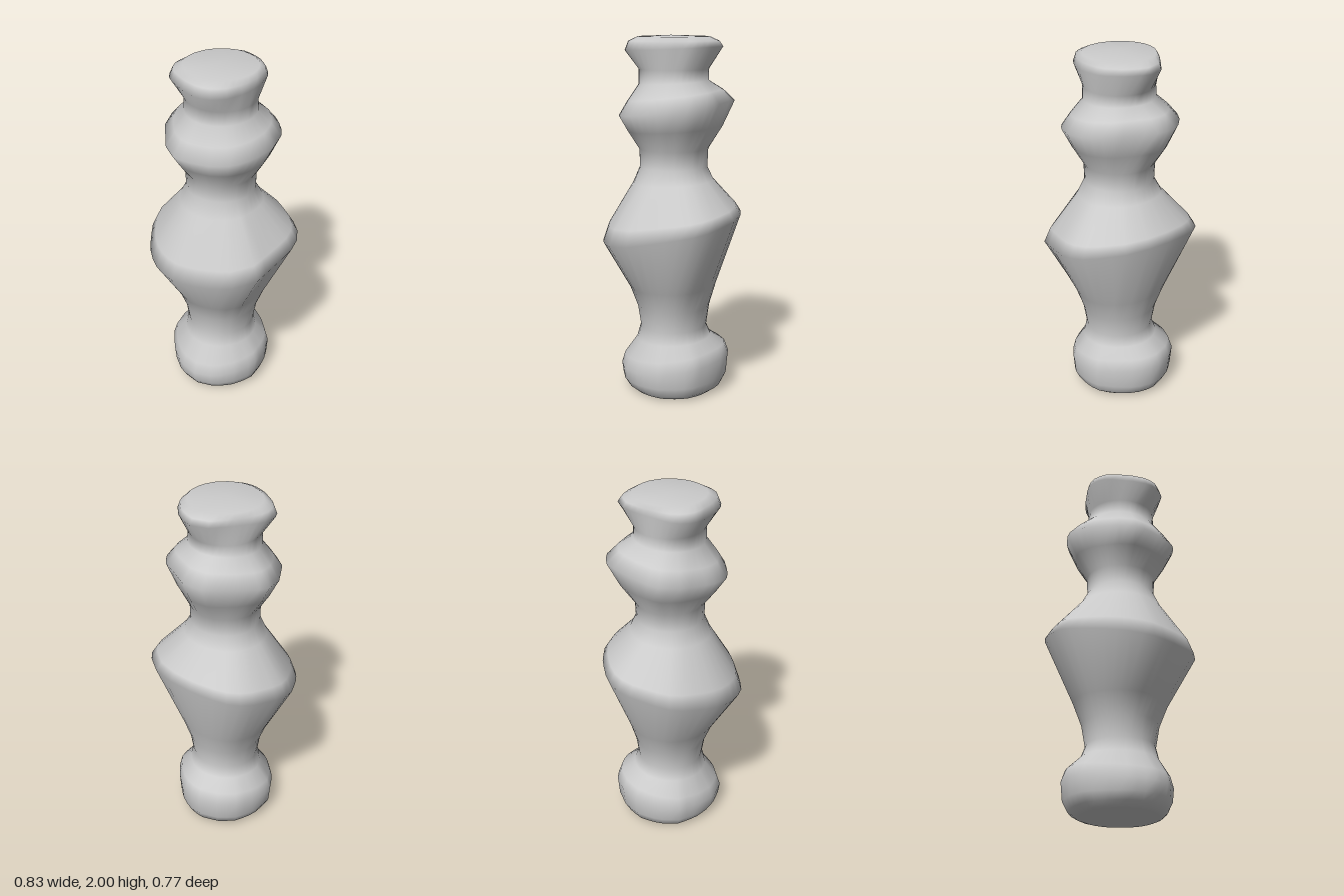
import * as THREE from 'three';

const SEGMENTS = 36;

// Uneven outlines of the bulges, as [x, z] corners going round from the back right towards the front
const neck = [];
for (let i = 0; i < 20; i++) {
  const a = (i / 20) * Math.PI * 2;
  neck.push([0.005 + 0.192 * Math.cos(a), -0.015 + 0.187 * Math.sin(a)]);
}
const foot = [[0.28, -0.05], [0.28, 0.06], [0.21, 0.175], [0.12, 0.255], [0, 0.285], [-0.12, 0.25],
  [-0.215, 0.165], [-0.29, 0.05], [-0.295, -0.07], [-0.25, -0.2], [-0.17, -0.28], [-0.04, -0.335],
  [0.08, -0.31], [0.18, -0.235], [0.265, -0.14]];
const belly = [[0.42, -0.06], [0.4, 0.03], [0.36, 0.21], [0.25, 0.32], [0.09, 0.37], [-0.055, 0.39],
  [-0.165, 0.36], [-0.24, 0.31], [-0.31, 0.235], [-0.36, 0.15], [-0.4, 0.07], [-0.42, -0.02],
  [-0.4, -0.1], [-0.37, -0.21], [-0.31, -0.31], [-0.19, -0.36], [-0.07, -0.385], [0.06, -0.39],
  [0.2, -0.36], [0.32, -0.28], [0.41, -0.19]];
const collar = [[0.32, 0], [0.285, 0.12], [0.215, 0.22], [0.115, 0.27], [0.01, 0.285], [-0.095, 0.29],
  [-0.19, 0.22], [-0.3, 0.055], [-0.33, -0.075], [-0.245, -0.21], [-0.18, -0.285], [-0.11, -0.345],
  [0, -0.345], [0.22, -0.24], [0.305, -0.135]];
const cap = [[0.23, -0.01], [0.21, 0.09], [0.16, 0.185], [0.1, 0.235], [0.02, 0.25], [-0.08, 0.215],
  [-0.21, 0.14], [-0.25, 0.065], [-0.24, -0.01], [-0.15, -0.165], [-0.09, -0.245], [0.01, -0.285],
  [0.12, -0.235], [0.21, -0.145]];

// Cross-sections: height, outline, blend from neck (0) to outline (1), rise towards the back
const RINGS = [
  [0, foot, 0.2, 0], [0.008, foot, 0.4, 0], [0.03, foot, 0.68, 0], [0.08, foot, 0.92, 0.01],
  [0.17, foot, 1, 0.035], [0.235, foot, 0.82, 0.035], [0.31, foot, 0.2, 0.01], [0.38, foot, 0, 0],
  [0.5, belly, 0.09, 0], [0.62, belly, 0.29, 0.01], [0.95, belly, 1, 0.085], [1.02, belly, 0.85, 0.06],
  [1.21, belly, 0.18, 0.01], [1.29, belly, 0, 0], [1.39, collar, 0.03, 0], [1.5, collar, 0.57, 0.015],
  [1.61, collar, 1, 0.04], [1.68, collar, 0.58, 0.03], [1.75, collar, 0.04, 0.01],
  [1.82, cap, 0.05, 0], [1.93, cap, 1, 0.01], [1.97, cap, 0.75, 0], [1.993, cap, 0.1, 0],
];

// Distance from the axis to an outline in direction a
function reach(outline, a) {
  const dx = Math.cos(a), dz = Math.sin(a);
  let best = 0;
  outline.forEach(([px, pz], i) => {
    const [qx, qz] = outline[(i + 1) % outline.length];
    const ex = qx - px, ez = qz - pz;
    const det = dx * ez - dz * ex;
    if (Math.abs(det) < 1e-9) return;
    const r = (px * ez - pz * ex) / det;
    const t = (px * dz - pz * dx) / det;
    if (t >= -1e-6 && t <= 1 + 1e-6) best = Math.max(best, r);
  });
  return best;
}

// Closed loft through all cross-sections
function loft() {
  const pos = [], index = [];
  for (const [y, outline, blend, rise] of RINGS) {
    for (let i = 0; i < SEGMENTS; i++) {
      const a = (i / SEGMENTS) * Math.PI * 2;
      const r = THREE.MathUtils.lerp(reach(neck, a), reach(outline, a), blend);
      pos.push(r * Math.cos(a), y - rise * Math.sin(a), r * Math.sin(a));
    }
  }
  const last = (RINGS.length - 1) * SEGMENTS;
  const bottom = pos.length / 3, top = bottom + 1;
  pos.push(0, 0, 0, 0, 2, 0);
  for (let i = 0; i < SEGMENTS; i++) {
    const j = (i + 1) % SEGMENTS;
    for (let k = 0; k < last; k += SEGMENTS) {
      const a = k + i, b = k + j, c = a + SEGMENTS, d = b + SEGMENTS;
      index.push(a, c, b, b, c, d);
    }
    index.push(bottom, i, j, top, last + j, last + i);
  }
  const geo = new THREE.BufferGeometry();
  geo.setAttribute('position', new THREE.Float32BufferAttribute(pos, 3));
  geo.setIndex(index);
  geo.computeVertexNormals();
  return geo;
}

export function createModel() {
  const group = new THREE.Group();
  group.name = 'carvedSpindle';
  const body = new THREE.Mesh(loft(), new THREE.MeshStandardMaterial({ color: 0xcccccc }));
  body.name = 'spindleBody';
  group.add(body);
  return group;
}
